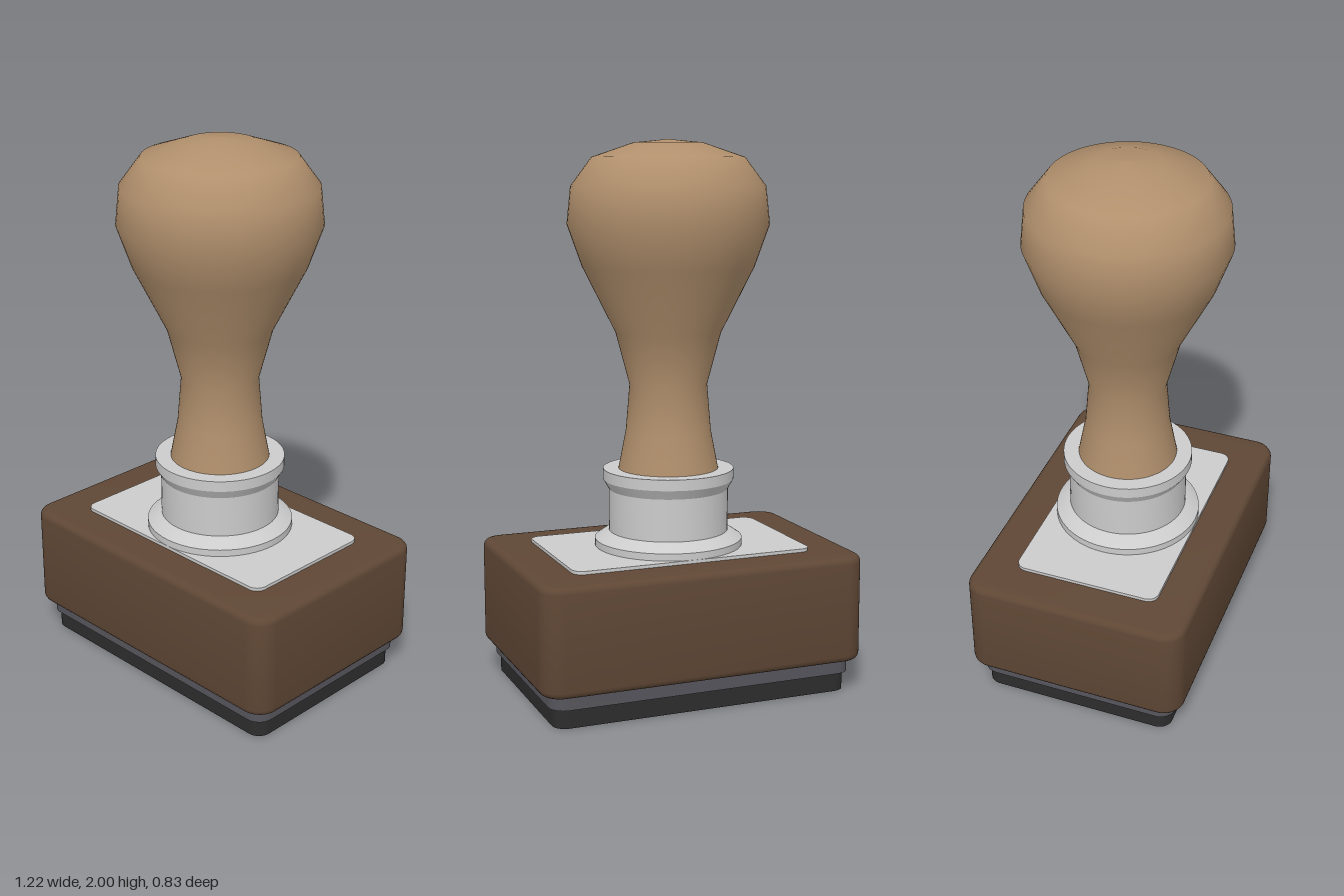
import * as THREE from 'three';
import { toCreasedNormals } from 'three/addons/utils/BufferGeometryUtils.js';

const paint = (color) => new THREE.MeshStandardMaterial({ color });

// Rectangle with rounded corners, centred on the origin
function roundedRect(hx, hz, r) {
  const s = new THREE.Shape();
  s.absarc(hx - r, hz - r, r, 0, Math.PI / 2);
  s.absarc(-hx + r, hz - r, r, Math.PI / 2, Math.PI);
  s.absarc(-hx + r, -hz + r, r, Math.PI, Math.PI * 1.5);
  s.absarc(hx - r, -hz + r, r, Math.PI * 1.5, Math.PI * 2);
  s.closePath();
  return s;
}

// Horizontal slab from y0 to y1 with rounded corners and optional bevelled rims
function slab(name, hx, hz, y0, y1, r, bevel, material) {
  const geo = new THREE.ExtrudeGeometry(roundedRect(hx - bevel, hz - bevel, r - bevel), {
    depth: y1 - y0 - 2 * bevel,
    bevelEnabled: bevel > 0,
    bevelSize: bevel,
    bevelThickness: bevel,
    bevelSegments: 4,
    curveSegments: 8,
  });
  geo.rotateX(-Math.PI / 2);
  geo.translate(0, y0 + bevel, 0);
  const mesh = new THREE.Mesh(toCreasedNormals(geo, 0.6), material);
  mesh.name = name;
  return mesh;
}

// Turned part from [radius, height] pairs, listed bottom to top
function turned(name, profile, material, crease) {
  let geo = new THREE.LatheGeometry(profile.map(([r, y]) => new THREE.Vector2(r, y)), 64);
  if (crease) geo = toCreasedNormals(geo, crease);
  const mesh = new THREE.Mesh(geo, material);
  mesh.name = name;
  return mesh;
}

export function createModel() {
  const model = new THREE.Group();
  model.name = 'handStamp';
  const metal = paint(0xcccccc);

  // Rubber face, cushion, wooden block and metal top plate
  model.add(
    slab('rubberFace', 0.56, 0.365, 0, 0.07, 0.05, 0, paint(0x2d2d2d)),
    slab('cushion', 0.575, 0.38, 0.07, 0.125, 0.06, 0, paint(0x55555c)),
    slab('block', 0.612, 0.417, 0.12, 0.512, 0.08, 0.025, paint(0x5f4735)),
    slab('topPlate', 0.456, 0.273, 0.505, 0.524, 0.04, 0, metal),
  );

  // Ferrule with a flanged foot and a flared rim
  model.add(turned('ferrule', [
    [0, 0.515], [0.272, 0.515], [0.272, 0.55], [0.235, 0.575], [0.22, 0.58],
    [0.22, 0.735], [0.24, 0.77], [0.24, 0.81], [0, 0.81],
  ], metal, 0.45));

  // Turned wooden grip
  model.add(turned('handle', [
    [0.185, 0.80], [0.156, 0.95], [0.142, 1.12], [0.192, 1.31], [0.312, 1.55],
    [0.365, 1.70], [0.351, 1.835], [0.275, 1.937], [0.125, 1.988], [0, 2.0],
  ], paint(0xb08f6c)));

  return model;
}
